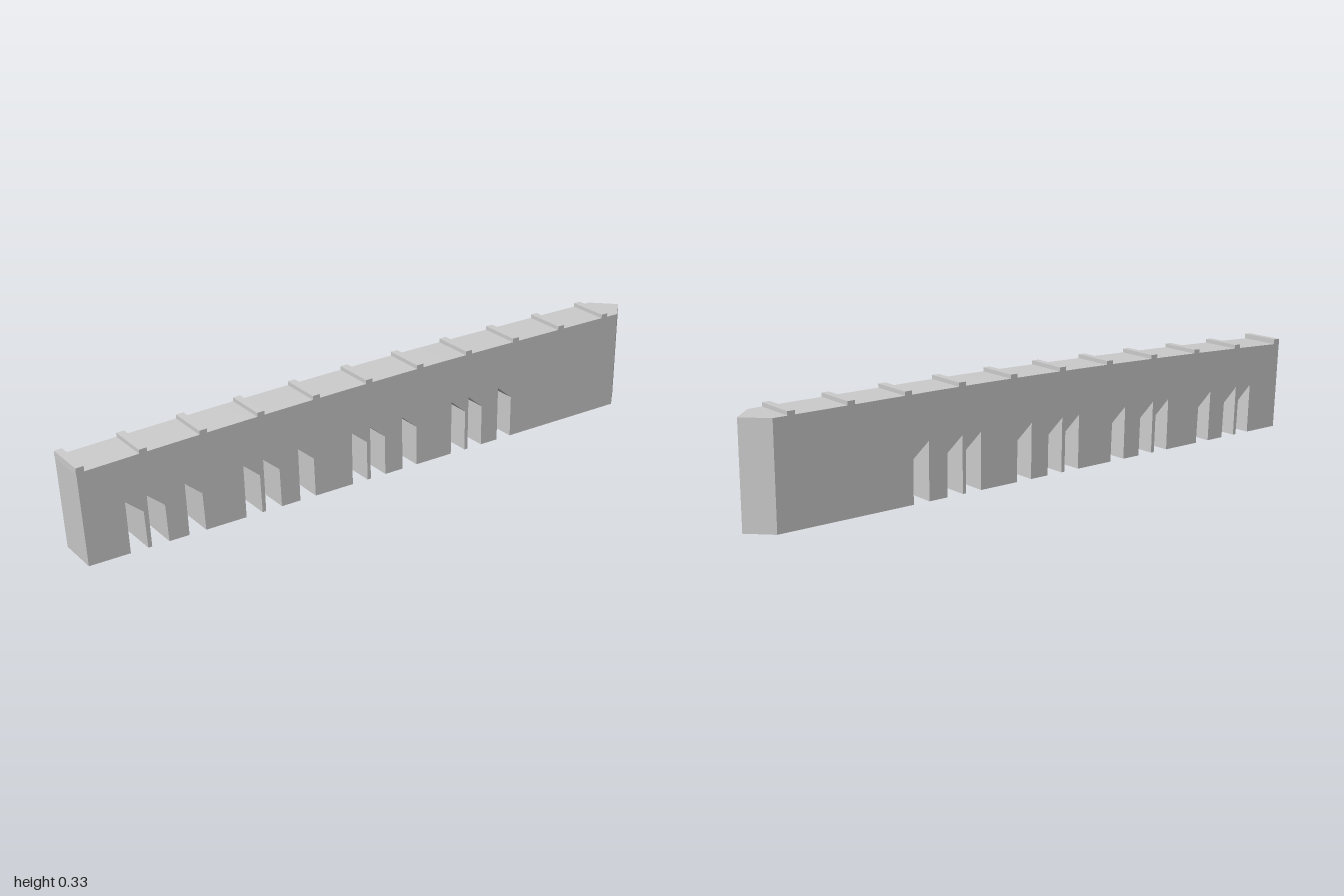
import * as THREE from 'three';

const HALF = 0.067;

// Height of the gently rising top edge
function topY(x) {
  const t = Math.min(1, Math.max(0, (0.4 - x) / 1.4));
  return 0.32 - 0.037 * Math.pow(t, 1.7);
}

// Extrude a side profile across the full thickness
function slab(shape) {
  const g = new THREE.ExtrudeGeometry(shape, { depth: HALF * 2, bevelEnabled: false });
  return g.translate(0, 0, -HALF);
}

export function createModel() {
  const group = new THREE.Group();
  const grey = new THREE.MeshStandardMaterial({ color: 0xcccccc });
  grey.name = 'light grey';
  const add = (name, geometry) => {
    const mesh = new THREE.Mesh(geometry, grey);
    mesh.name = name;
    group.add(mesh);
  };

  // Wall with slant-topped slots open at the bottom
  const wall = new THREE.Shape();
  wall.moveTo(-0.985, 0);
  for (let i = 0; i < 4; i++) {
    [0, 0.066, 0.184].forEach((offset) => {
      const x = -0.865 + i * 0.3727 + offset;
      const lean = 0.007 - 0.002 * i;
      const h = 0.16 + 0.018 * (x + 0.865) / 1.3;
      wall.lineTo(x + lean, 0);
      wall.lineTo(x, h);
      wall.lineTo(x + 0.054, h - 0.045);
      wall.lineTo(x + 0.054 + lean, 0);
    });
  }
  wall.lineTo(0.932, 0);
  wall.lineTo(0.932, 0.32);
  for (let i = 0; i <= 8; i++) {
    const x = 0.4 - i * 0.175;
    wall.lineTo(x + (i === 8 ? 0.001 : 0), topY(x));
  }
  wall.closePath();
  add('wall', slab(wall));

  // Pointed end
  const tip = new THREE.Shape();
  tip.moveTo(0.932, -HALF);
  tip.lineTo(1, 0);
  tip.lineTo(0.932, HALF);
  tip.closePath();
  const nose = new THREE.ExtrudeGeometry(tip, { depth: 0.32, bevelEnabled: false });
  add('pointedEnd', nose.rotateX(-Math.PI / 2));

  // Low cross ribs along the top
  for (let i = 0; i < 11; i++) {
    const x = -0.988 + i * 0.1864;
    const a = x - 0.012, b = x + 0.012;
    const rise = i === 0 ? 0.016 : 0.012;
    const rib = new THREE.Shape();
    rib.moveTo(a, topY(a) - 0.004);
    rib.lineTo(b, topY(b) - 0.004);
    rib.lineTo(b, topY(b) + rise);
    rib.lineTo(a, topY(a) + rise);
    rib.closePath();
    add('topRib', slab(rib));
  }
  return group;
}
